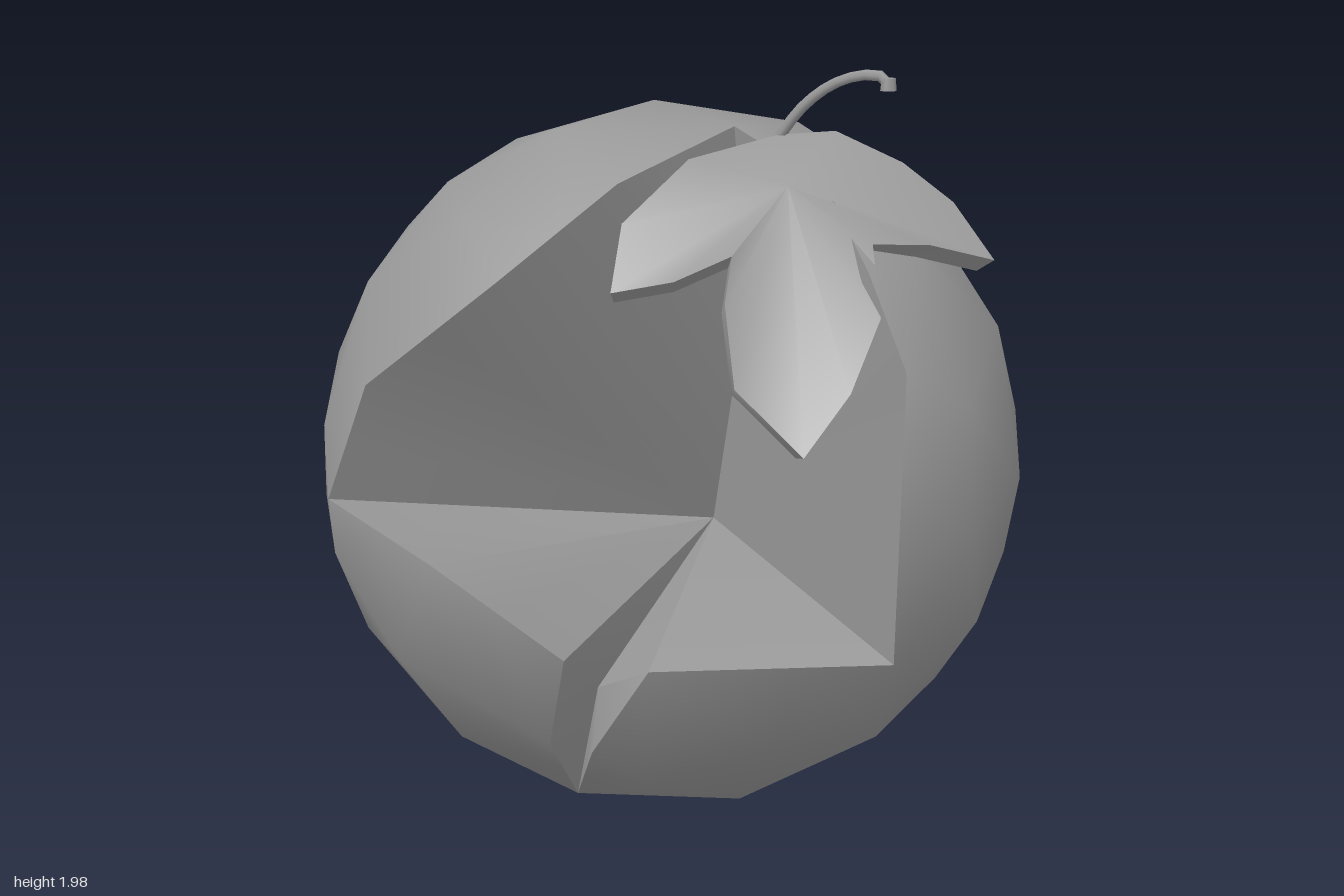
import * as THREE from 'three';
import { ConvexGeometry } from 'three/addons/geometries/ConvexGeometry.js';
import { toCreasedNormals } from 'three/addons/utils/BufferGeometryUtils.js';

const v = (x, y, z) => new THREE.Vector3(x, y, z);
const CENTER = v(0, 0.945, 0);
const RADIUS = 0.945;
const solid = new THREE.MeshStandardMaterial({ color: 0x999999 });
const sheet = new THREE.MeshStandardMaterial({ color: 0x999999, side: THREE.DoubleSide });

// Inner corners of the bite: deep corner, crease of the walls, bottom of the slit
const deep = v(0.1, 0.75, -0.06);
const crease = v(0.21, 1.4, -0.02);
const slit = v(0.09, 0.52, 0.61);

// Rim of the bite, counterclockwise from the top; each point names the inner corner its next edge joins
const RIM = [
  [v(0.19, 1.84, 0.03), crease],
  [v(0.08, 1.75, 0.46), deep],
  [v(-0.12, 1.54, 0.69), deep],
  [v(-0.41, 1.29, 0.82), deep],
  [v(-0.53, 0.99, 0.83), deep],
  [v(-0.18, 0.91, 0.925), deep],
  [v(0.09, 0.66, 0.78), slit],
  [v(0.045, 0.43, 0.775), slit],
  [v(-0.01, 0.17, 0.54), slit],
  [v(0.13, 0.4, 0.72), slit],
  [v(0.27, 0.63, 0.69), deep],
  [v(0.79, 0.64, 0.42), deep],
  [v(0.79, 1.36, 0.41), deep],
  [v(0.67, 1.57, 0.35), crease],
  [v(0.48, 1.74, 0.16), crease],
];

// Split long rim edges so the skin follows them closely
function splitRim() {
  const out = [];
  RIM.forEach(([p, apex], i) => {
    const q = RIM[(i + 1) % RIM.length][0];
    const n = Math.ceil(p.distanceTo(q) / 0.28);
    for (let k = 0; k < n; k++) out.push({ p: p.clone().lerp(q, k / n), apex });
  });
  return out;
}

function namedMesh(name, geometry, material) {
  const m = new THREE.Mesh(geometry, material);
  m.name = name;
  return m;
}

// Round skin with an opening along the rim
function makeSkin(rim) {
  const axis = v(0.2, 0.2, 0.7).normalize();
  const e1 = v(0, 1, 0).cross(axis).normalize();
  const e2 = axis.clone().cross(e1);
  const flat = (d) => [d.dot(e1) / d.dot(axis), d.dot(e2) / d.dot(axis)];
  const dirs = rim.map((r) => r.p.clone().sub(CENTER).normalize());
  const poly = dirs.map(flat);
  const inside = (d) => {
    if (d.dot(axis) < 0.05) return false;
    const [x, y] = flat(d);
    let hit = false;
    poly.forEach(([ax, ay], i) => {
      const [bx, by] = poly[(i + 1) % poly.length];
      if (ay > y !== by > y && x < ((bx - ax) * (y - ay)) / (by - ay) + ax) hit = !hit;
    });
    return hit;
  };
  // The skin is flattened below the lip of the bite
  const underLip = (d) => d.z > 0.84 && d.y < -0.05;

  // Coarse ball points that keep clear of the opening
  const ball = new THREE.IcosahedronGeometry(1, 2).attributes.position;
  const tilt = new THREE.Euler(0.2, 0.3, 0.02);
  const unique = new Map();
  for (let i = 0; i < ball.count; i++) {
    const d = v().fromBufferAttribute(ball, i).applyEuler(tilt).normalize();
    if (!inside(d) && !underLip(d) && dirs.every((r) => r.distanceTo(d) > 0.16)) {
      unique.set(d.toArray().map((c) => Math.round(c * 1000)).join(), d);
    }
  }

  // Hull of the directions, without the triangles that span the opening
  const hull = new ConvexGeometry([...unique.values(), ...dirs]).attributes.position;
  const points = [];
  const normals = [];
  for (let i = 0; i < hull.count; i += 3) {
    const tri = [0, 1, 2].map((k) => v().fromBufferAttribute(hull, i + k));
    const ids = tri.map((d) => dirs.findIndex((r) => r.distanceTo(d) < 1e-4));
    const mid = tri[0].clone().add(tri[1]).add(tri[2]).normalize();
    if (ids.every((id) => id >= 0) && inside(mid)) continue;
    tri.forEach((d, k) => {
      points.push(ids[k] >= 0 ? rim[ids[k]].p : d.clone().multiplyScalar(RADIUS).add(CENTER));
      normals.push(d.x, d.y, d.z);
    });
  }
  const g = new THREE.BufferGeometry().setFromPoints(points);
  g.setAttribute('normal', new THREE.Float32BufferAttribute(normals, 3));
  return namedMesh('fruitSkin', g, sheet);
}

// Walls, floor and slit of the bite, fanned from the inner corners
function makeBite(rim) {
  const points = [];
  rim.forEach(({ p, apex }, i) => {
    const before = rim[(i + rim.length - 1) % rim.length].apex;
    const next = rim[(i + 1) % rim.length].p;
    if (before !== apex) points.push(before, p, apex);
    points.push(apex, p, next);
  });
  const g = new THREE.BufferGeometry().setFromPoints(points);
  return namedMesh('biteWalls', toCreasedNormals(g, 0.6), sheet);
}

// Thick three-lobed leaf draped over the top, smooth above with sharp edges
function makeLeaf() {
  const outline = [
    v(0.32, 1.83, 0.06), v(0.45, 1.84, 0), v(0.62, 1.77, -0.02), v(0.75, 1.68, -0.03),
    v(0.865, 1.55, -0.01), v(0.74, 1.6, 0.12), v(0.65, 1.62, 0.27), v(0.71, 1.47, 0.37),
    v(0.7, 1.33, 0.53), v(0.61, 1.18, 0.58), v(0.45, 1.33, 0.61), v(0.38, 1.5, 0.51),
    v(0.37, 1.6, 0.45), v(0.25, 1.54, 0.51), v(0.11, 1.51, 0.56), v(0.1, 1.66, 0.48),
    v(0.18, 1.79, 0.28),
  ];
  const middle = v(0.43, 1.74, 0.26);
  const under = (p) => p.clone().lerp(CENTER, 0.05);
  const points = [];
  outline.forEach((a, i) => {
    const b = outline[(i + 1) % outline.length];
    points.push(middle, b, a, under(middle), under(a), under(b));
    points.push(a, b, under(b), a, under(b), under(a));
  });
  const g = new THREE.BufferGeometry().setFromPoints(points);
  return namedMesh('leaf', toCreasedNormals(g, 1), sheet);
}

// Thin curved stem with a thicker tip
function makeStem() {
  const stem = new THREE.Group();
  stem.name = 'stem';
  const path = new THREE.CatmullRomCurve3([
    v(0.31, 1.81, 0.05), v(0.38, 1.9, 0.05), v(0.46, 1.96, 0.05),
    v(0.54, 1.985, 0.05), v(0.59, 1.98, 0.05), v(0.605, 1.96, 0.05),
  ]);
  const tip = namedMesh('stemTip', new THREE.CylinderGeometry(0.017, 0.02, 0.03, 6), solid);
  tip.position.set(0.6, 1.965, 0.05);
  stem.add(namedMesh('stalk', new THREE.TubeGeometry(path, 10, 0.014, 6), solid), tip);
  return stem;
}

export function createModel() {
  const model = new THREE.Group();
  model.name = 'bittenFruit';
  const rim = splitRim();
  model.add(makeSkin(rim), makeBite(rim), makeLeaf(), makeStem());
  return model;
}
